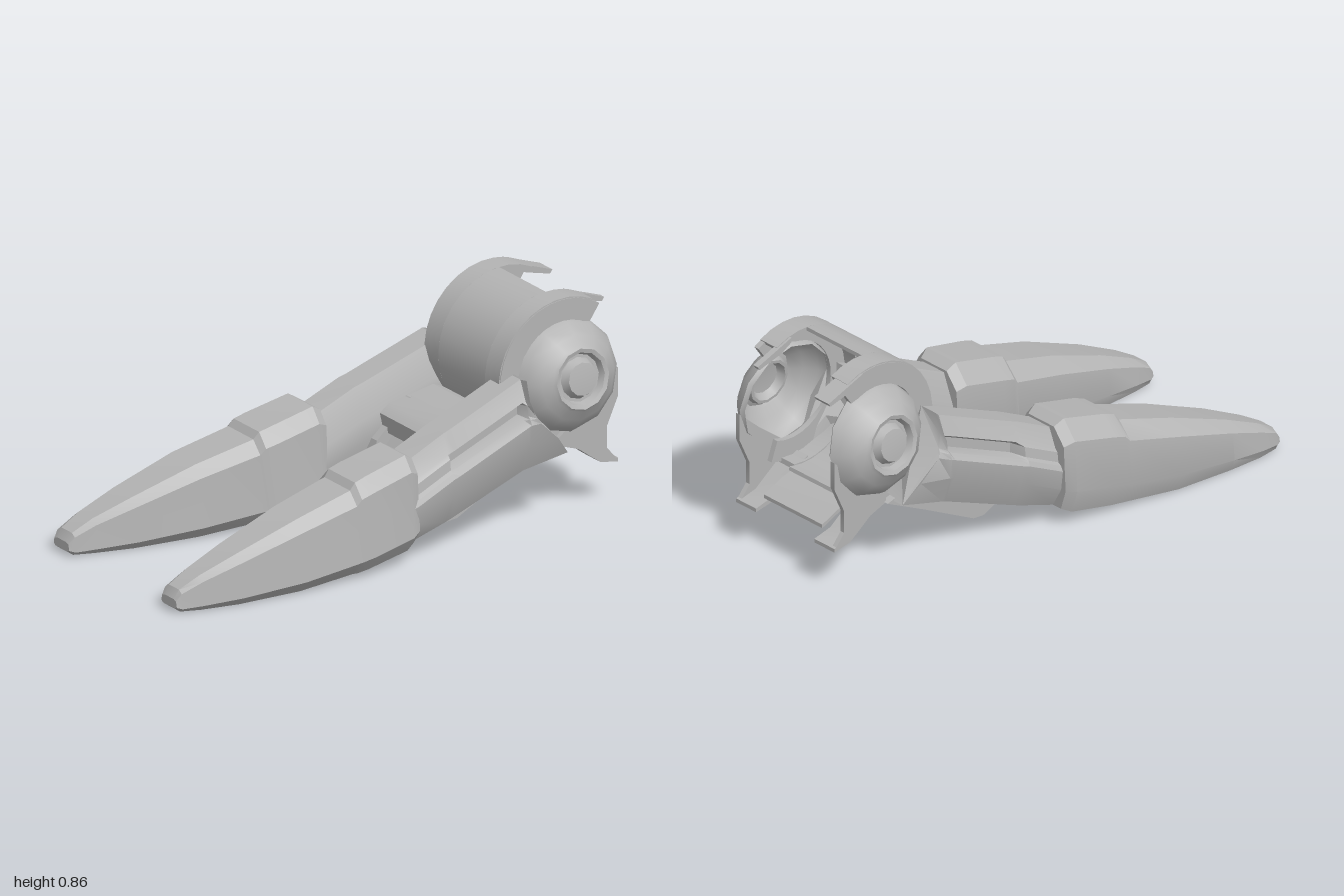
import * as THREE from 'three';
import { toCreasedNormals } from 'three/addons/utils/BufferGeometryUtils.js';

const MID = 0.09;            // x of the symmetry plane of the hinge
const AXIS = [-0.75, 0.57];  // z, y of the hinge axis

export function createModel() {
  const group = new THREE.Group();
  const grey = new THREE.MeshStandardMaterial({ color: 0xb4b4b4, side: THREE.DoubleSide });
  grey.name = 'plain grey';

  function add(name, geometry, crease = 0.5) {
    const mesh = new THREE.Mesh(toCreasedNormals(geometry, crease), grey);
    mesh.name = name;
    group.add(mesh);
  }

  // Outline given as [z, y], extruded from x0 to x1
  function prism(name, outline, x0, x1) {
    const shape = new THREE.Shape(outline.map(([z, y]) => new THREE.Vector2(-z, y)));
    const g = new THREE.ExtrudeGeometry(shape, { depth: Math.abs(x1 - x0), bevelEnabled: false });
    g.rotateY(Math.PI / 2).translate(Math.min(x0, x1), 0, 0);
    add(name, g);
  }

  // Outline of a curved band around the hinge axis, angles in degrees from the front
  function band(a0, a1, outer, inner) {
    const n = Math.ceil((a1 - a0) / 12);
    const arc = (r) => Array.from({ length: n + 1 }, (_, i) => {
      const a = THREE.MathUtils.degToRad(a0 + (a1 - a0) * i / n);
      return [AXIS[0] + r * Math.cos(a), AXIS[1] + r * Math.sin(a)];
    });
    return [...arc(outer), ...arc(inner).reverse()];
  }

  // Skin over cross-sections that run towards +z, each counter-clockwise from the front
  function loft(name, rows) {
    const n = rows[0].length;
    const index = [];
    for (let i = 0; i < rows.length - 1; i++) {
      for (let j = 0; j < n; j++) {
        const a = i * n + j, b = i * n + (j + 1) % n;
        index.push(a, b, b + n, a, b + n, a + n);
      }
    }
    // End caps, triangulated so that concave sections work too
    const end = (rows.length - 1) * n;
    for (const [row, base, flip] of [[rows[0], 0, true], [rows[rows.length - 1], end, false]]) {
      const tris = THREE.ShapeUtils.triangulateShape(row.map((p) => new THREE.Vector2(p[0], p[1])), []);
      for (const [a, b, c] of tris) index.push(base + a, base + (flip ? c : b), base + (flip ? b : c));
    }
    const g = new THREE.BufferGeometry();
    g.setAttribute('position', new THREE.Float32BufferAttribute(rows.flat(2), 3));
    g.setIndex(index);
    add(name, g.toNonIndexed());
  }

  // Hinge shell, open at the back, with longer edges at both sides
  prism('shellCentre', band(-105, 87, 0.29, 0.275), MID - 0.15, MID + 0.15);
  prism('lowerFlap', [[-0.74, 0.28], [-0.85, 0.25], [-0.94, 0.21], [-0.94, 0.225], [-0.85, 0.265], [-0.74, 0.295]],
    MID - 0.16, MID + 0.16);

  const dome = [[0.21, 0.235], [0.222, 0.25], [0.205, 0.285], [0.165, 0.325], [0.128, 0.35], [0.118, 0.36],
    [0.102, 0.355], [0.092, 0.33], [0.08, 0.33], [0.064, 0.36], [0, 0.366]];
  const horn = [[-0.7, 0.31], [-0.8, 0.27], [-0.9, 0.19], [-0.98, 0.17], [-0.93, 0.23],
    [-0.93, 0.32], [-0.98, 0.43], [-0.98, 0.54], [-0.88, 0.45]];
  const hornLip = [[-0.72, 0.285], [-0.8, 0.255], [-0.9, 0.18], [-0.98, 0.165], [-0.98, 0.18],
    [-0.9, 0.2], [-0.8, 0.275], [-0.72, 0.31]];
  const spike = [[-0.82, 0.849], [-0.87, 0.83], [-0.99, 0.785], [-0.98, 0.77], [-0.87, 0.8], [-0.82, 0.83]];

  for (const s of [-1, 1]) {
    const at = (d) => MID + s * d;
    const side = s > 0 ? 'left' : 'right';
    prism(side + 'ShellEdge', band(-100, 118, 0.29, 0.27), at(0.15), at(0.24));
    prism(side + 'ShellSpike', spike, at(s > 0 ? 0.14 : 0.17), at(s > 0 ? 0.165 : 0.25));
    prism(side + 'Cheek', band(-110, 125, 0.285, 0.2), at(0.22), at(0.243));
    prism(side + 'Horn', horn, at(0.25), at(0.27));
    prism(side + 'HornLip', hornLip, at(0.16), at(0.27));

    // Domed hinge cap with a recessed hub, tilted slightly upwards
    const cap = new THREE.LatheGeometry(dome.map(([r, h]) => new THREE.Vector2(r, h)), 12);
    cap.rotateZ(-s * (Math.PI / 2 - 0.13)).translate(MID, AXIS[1] - 0.045, AXIS[0] - 0.01);
    add(side + 'HingeCap', cap, 0.6);

    // Pod under the inner side of the arm
    prism(side + 'Pod', [[-0.15, 0.12], [-0.2, 0.09], [-0.25, 0.068], [-0.3, 0.072], [-0.55, 0.2],
      [-0.73, 0.288], [-0.6, 0.325], [-0.5, 0.42], [-0.35, 0.42], [-0.2, 0.28]],
    at(s > 0 ? 0.1 : 0.175), at(s > 0 ? 0.2 : 0.29));
  }

  // Cross bars between the arms
  prism('upperBar', [[-0.5, 0.43], [-0.46, 0.445], [-0.28, 0.4], [-0.24, 0.37], [-0.25, 0.3], [-0.46, 0.36]], -0.14, 0.26);
  prism('lowerBar', [[-0.42, 0.33], [-0.27, 0.29], [-0.23, 0.24], [-0.235, 0.14], [-0.28, 0.12], [-0.42, 0.19]], -0.12, 0.22);

  // Arms: z, centre x, top y, bottom y, width, groove depth; the first row wraps the hinge cap
  const armRows = {
    left: [[null, 0.385, 0.61, 0.29, 0.7, 0], [-0.52, 0.335, 0.605, 0.25, 1, 0], [-0.505, 0.335, 0.6, 0.245, 1, 1],
      [-0.2, 0.335, 0.48, 0.135, 1, 1], [-0.17, 0.335, 0.47, 0.125, 1, 0], [-0.02, 0.33, 0.4, 0.08, 1, 0],
      [0.04, 0.33, 0.38, 0.08, 1, 0]],
    right: [[null, -0.2, 0.61, 0.29, 0.7, 0], [-0.52, -0.2, 0.605, 0.25, 1, 0], [-0.505, -0.2, 0.6, 0.245, 1, 1],
      [-0.2, -0.24, 0.48, 0.135, 1, 1], [-0.17, -0.245, 0.47, 0.125, 1, 0], [-0.02, -0.26, 0.4, 0.08, 1, 0],
      [0.04, -0.265, 0.38, 0.08, 1, 0]],
  };
  const capFront = (y) => AXIS[0] + Math.sqrt(Math.max(0.0025, 0.23 ** 2 - (y - AXIS[1]) ** 2));
  for (const [side, rows] of Object.entries(armRows)) {
    const s = side === 'left' ? 1 : -1;
    loft(side + 'Arm', rows.map(([z, cx, top, bottom, width, groove]) => {
      const section = [[-0.08, bottom - top], [0.07, bottom - top], [0.115, -0.24], [0.125, -0.16],
        [0.115 - 0.02 * groove, -0.14], [0.1 - 0.05 * groove, -0.13], [0.095 - 0.045 * groove, -0.09],
        [0.082, -0.075], [0.05, 0], [-0.06, 0], [-0.11, -0.12], [-0.12, -0.2]];
      const pts = section.map(([x, y]) => [cx + s * x * width, top + y, z ?? capFront(top + y)]);
      return s > 0 ? pts : pts.reverse();
    }));
  }

  // Fingers: z, bottom and top y, then the x range of each finger
  const fingerRows = [
    [-0.02, 0.08, 0.41, 0.19, 0.45, -0.40, -0.14],
    [0.02, 0.06, 0.435, 0.175, 0.47, -0.42, -0.125],
    [0.2, 0.03, 0.395, 0.165, 0.48, -0.44, -0.13],
    [0.25, 0.025, 0.38, 0.165, 0.48, -0.445, -0.14],
    [0.27, 0.025, 0.352, 0.17, 0.475, -0.45, -0.15],
    [0.5, 0.006, 0.29, 0.18, 0.46, -0.48, -0.2],
    [0.75, 0, 0.2, 0.2, 0.415, -0.485, -0.265],
    [0.9, 0, 0.135, 0.215, 0.37, -0.48, -0.32],
    [0.98, 0.005, 0.09, 0.225, 0.345, -0.47, -0.345],
    [1, 0.02, 0.055, 0.235, 0.335, -0.46, -0.36],
  ];
  const fingerSection = [[0.1, 0], [0.85, 0], [1, 0.17], [0.94, 0.85], [0.79, 1], [0.25, 1], [0.04, 0.8], [0, 0.25]];
  ['left', 'right'].forEach((side, k) => {
    loft(side + 'Finger', fingerRows.map((r) => {
      const x0 = r[3 + 2 * k], x1 = r[4 + 2 * k];
      return fingerSection.map(([u, v]) => [x0 + (x1 - x0) * u, r[1] + (r[2] - r[1]) * v, r[0]]);
    }));
  });

  return group;
}
